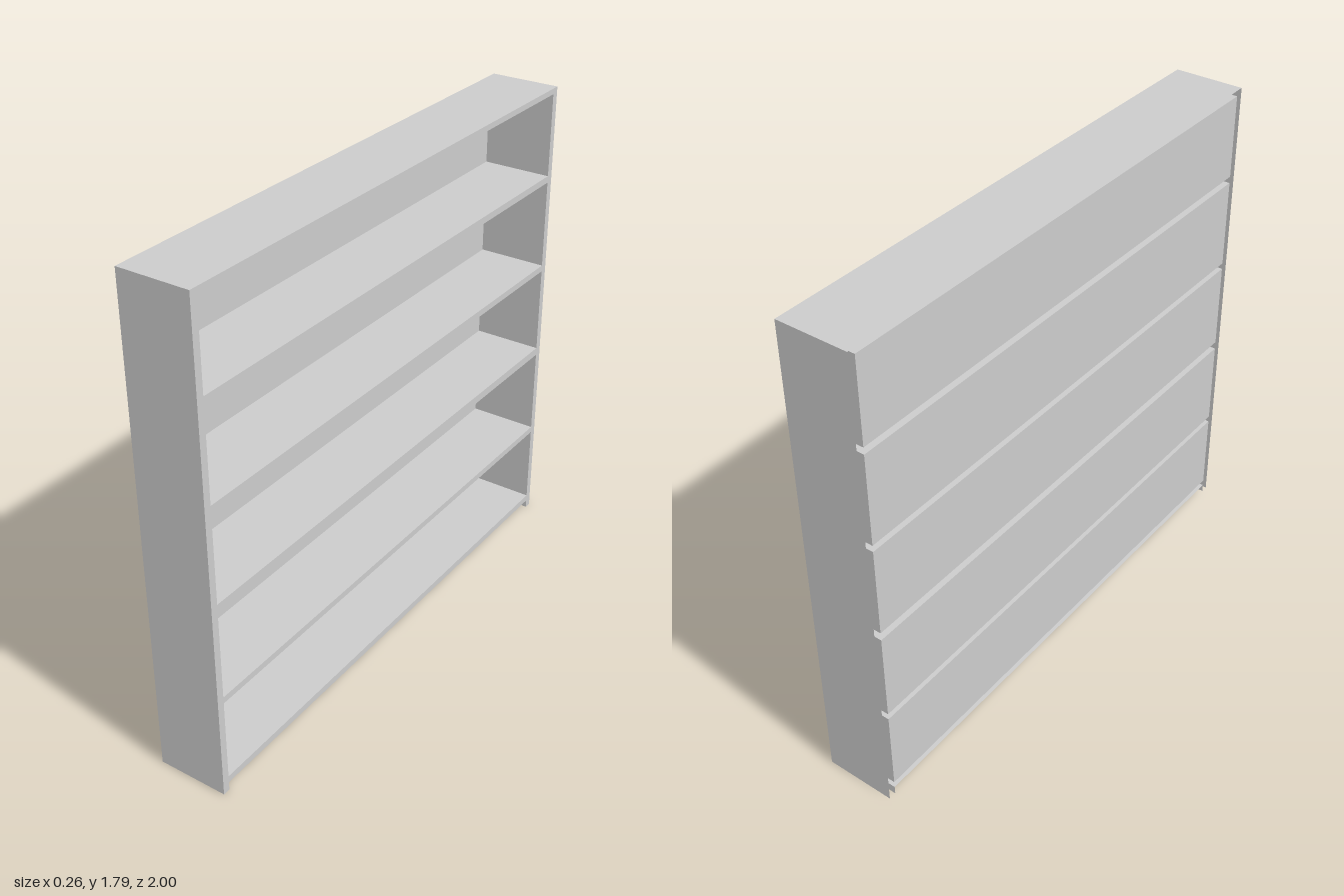
import * as THREE from 'three';

const D = 0.13;        // half depth
const H = 1.788;       // total height
const INNER = 0.973;   // half width of the openings
const FOOT = 0.032;    // clearance under the lowest shelf
// bottom and top of each compartment
const BAYS = [[0.057, 0.364], [0.388, 0.718], [0.748, 1.077], [1.101, 1.434], [1.459, 1.767]];

const material = new THREE.MeshStandardMaterial({ color: 0xcccccc, side: THREE.DoubleSide });

// Depth-wise walls along a closed outline (solid lies left of the path)
function walls(points, keep = () => true) {
  const pos = [];
  points.forEach((a, i) => {
    const b = points[(i + 1) % points.length];
    if (!keep(a, b)) return;
    const [p, q, r, s] = [[...a, -D], [...b, -D], [...b, D], [...a, D]];
    pos.push(...p, ...q, ...r, ...p, ...r, ...s);
  });
  const g = new THREE.BufferGeometry();
  g.setAttribute('position', new THREE.Float32BufferAttribute(pos, 3));
  g.computeVertexNormals();
  return g;
}

export function createModel() {
  const group = new THREE.Group();
  group.name = 'bookcase';
  const add = (geometry, name) => {
    const mesh = new THREE.Mesh(geometry.rotateY(Math.PI / 2), material); // open side faces +x
    mesh.name = name;
    group.add(mesh);
  };

  // Outer outline with two short feet
  const outline = [[-1, 0], [-INNER, 0], [-INNER, FOOT], [INNER, FOOT], [INNER, 0], [1, 0], [1, H], [-1, H]];
  // Feet are open underneath
  add(walls(outline, (a, b) => a[1] + b[1] > 0), 'outerCase');

  const toPoints = (list) => list.map(([x, y]) => new THREE.Vector2(x, y));
  const face = new THREE.Shape(toPoints(outline));

  BAYS.forEach(([low, high], i) => {
    const hole = [[-INNER, low], [-INNER, high], [INNER, high], [INNER, low]];
    face.holes.push(new THREE.Path(toPoints(hole)));
    // Shelf top, shelf underside and side linings of one compartment
    add(walls(hole), `compartment${i + 1}`);
    // Thin back sheet
    const back = new THREE.PlaneGeometry(2 * INNER, high - low).translate(0, (low + high) / 2, -D);
    add(back, `backPanel${i + 1}`);
  });

  // Front edges of the sides and shelves
  add(new THREE.ShapeGeometry(face).translate(0, 0, D), 'frontFrame');
  return group;
}
